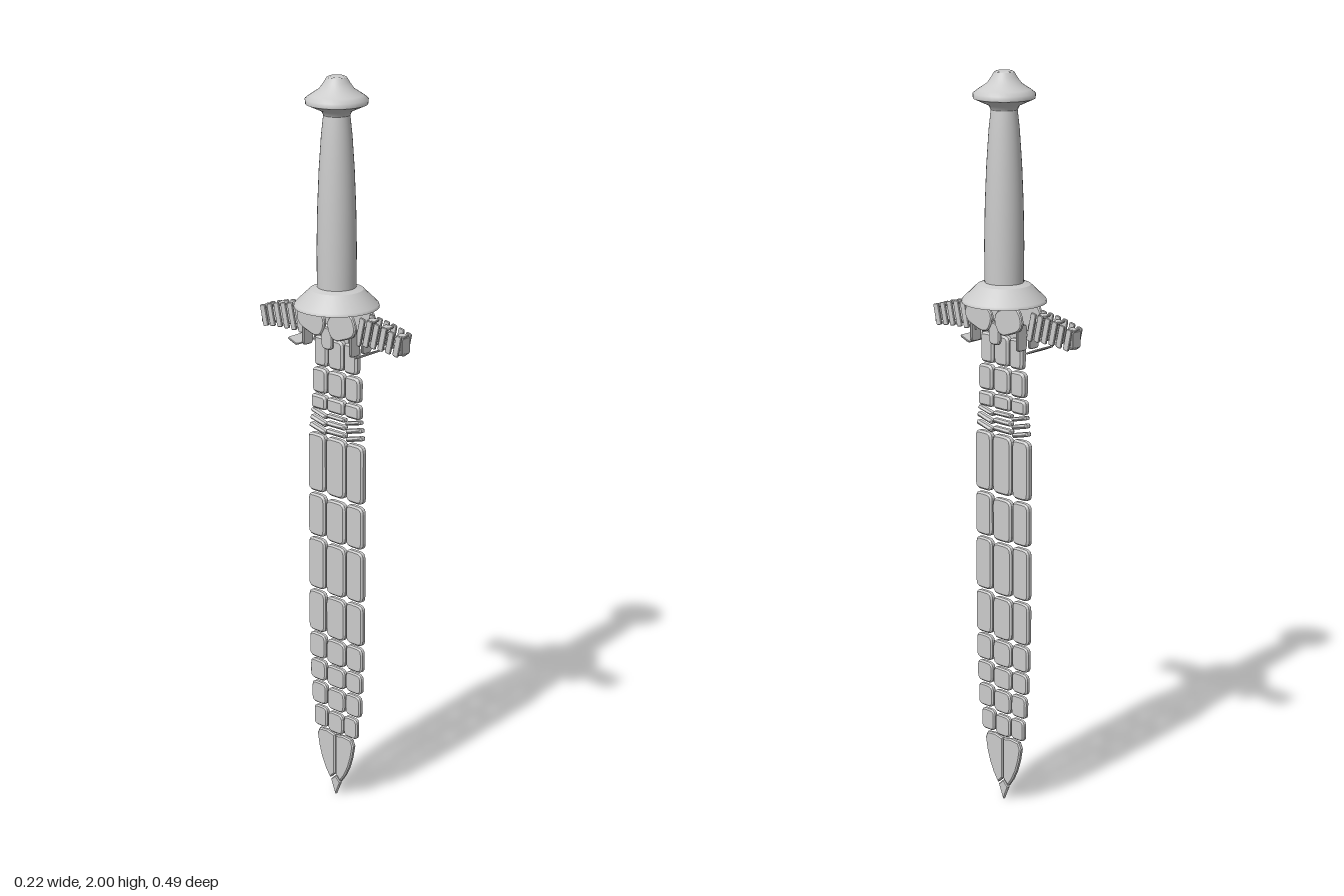
import * as THREE from 'three';

const CZ = 0.008; // centre line of the dagger
const steel = new THREE.MeshStandardMaterial({ color: 0xcccccc, flatShading: true, side: THREE.DoubleSide });
const smooth = new THREE.MeshStandardMaterial({ color: 0xcccccc, side: THREE.DoubleSide });

// Small bevelled slab from an outline in the z-y plane, thin along x
function slab(name, shape, thick) {
  const bevel = thick * 0.25;
  const geo = new THREE.ExtrudeGeometry(shape, {
    depth: thick - 2 * bevel, bevelEnabled: true, bevelThickness: bevel,
    bevelSize: bevel, bevelOffset: -bevel, bevelSegments: 1, curveSegments: 4,
  });
  geo.translate(0, 0, -(thick / 2 - bevel));
  geo.rotateY(-Math.PI / 2);
  const mesh = new THREE.Mesh(geo, steel);
  mesh.name = name;
  return mesh;
}

// Rounded rectangle centred on the origin
function roundedRect(w, h, r) {
  const x = w / 2, y = h / 2, s = new THREE.Shape();
  s.moveTo(-x + r, -y);
  s.lineTo(x - r, -y); s.quadraticCurveTo(x, -y, x, -y + r);
  s.lineTo(x, y - r); s.quadraticCurveTo(x, y, x - r, y);
  s.lineTo(-x + r, y); s.quadraticCurveTo(-x, y, -x, y - r);
  s.lineTo(-x, -y + r); s.quadraticCurveTo(-x, -y, -x + r, -y);
  return s;
}

function plate(name, w, h, thick, x, y, z, round = 0.3) {
  const mesh = slab(name, roundedRect(w, h, Math.min(w, h) * round), thick);
  mesh.position.set(x, y, z);
  return mesh;
}

// Turned part; each run of points gets its own lathe so the rims stay sharp
function turned(name, runs) {
  const group = new THREE.Group();
  group.name = name;
  for (const run of runs) {
    const geo = new THREE.LatheGeometry(run.map(([r, y]) => new THREE.Vector2(r, y)), 32);
    const mesh = new THREE.Mesh(geo, smooth);
    mesh.name = name + 'Surface';
    group.add(mesh);
  }
  group.position.z = CZ;
  return group;
}

function makeHilt() {
  const hilt = new THREE.Group();
  hilt.name = 'hilt';
  hilt.add(turned('collar', [
    [[0, 1.4], [0.112, 1.4]],
    [[0.112, 1.4], [0.11, 1.408], [0.07, 1.447]],
    [[0.07, 1.447], [0.05, 1.453]],
  ]));
  hilt.add(turned('grip', [
    [[0.051, 1.445], [0.052, 1.55], [0.05, 1.66], [0.046, 1.76], [0.04, 1.85], [0.034, 1.905]],
  ]));
  hilt.add(turned('pommel', [
    [[0.034, 1.9], [0.04, 1.912], [0.08, 1.93]],
    [[0.08, 1.93], [0.081, 1.943], [0.068, 1.953], [0.045, 1.968], [0.033, 1.985], [0.026, 1.997]],
    [[0.026, 1.997], [0.02, 2], [0, 2]],
  ]));
  return hilt;
}

function makeBlade() {
  const blade = new THREE.Group();
  blade.name = 'blade';
  // Rows of three plates: bottom, top, +z edge, -z edge
  const rows = [
    [0.19, 0.25, 0.09, -0.072], [0.257, 0.32, 0.102, -0.08], [0.327, 0.386, 0.106, -0.085],
    [0.392, 0.464, 0.109, -0.088], [0.47, 0.588, 0.11, -0.09], [0.596, 0.74, 0.11, -0.09],
    [0.748, 0.867, 0.11, -0.09], [0.875, 1.038, 0.11, -0.09],
    [1.046, 1.058, 0.106, -0.086], [1.068, 1.08, 0.104, -0.083], [1.09, 1.1, 0.1, -0.08],
    [1.108, 1.147, 0.098, -0.078], [1.153, 1.222, 0.097, -0.074], [1.228, 1.31, 0.088, -0.066],
  ];
  const columns = [[0, 0.305], [0.325, 0.675], [0.695, 1]];
  for (const [y0, y1, z0, z1] of rows) {
    const thick = 0.013 + 0.009 * Math.min(1, y0);
    columns.forEach(([a, b], i) => {
      const za = z0 + (z1 - z0) * a, zb = z0 + (z1 - z0) * b;
      // the middle column is staggered a little
      const shift = i === 1 && y0 < 0.8 ? -0.004 : 0;
      const p = plate('bladePlate', za - zb, y1 - y0, thick, 0, (y0 + y1) / 2 + shift, (za + zb) / 2);
      if (y1 - y0 < 0.02) p.rotation.x = (i - 1) * 0.25;
      blade.add(p);
    });
  }
  // Pointed end in two halves, with a small separate point
  for (const s of [1, -1]) {
    const half = new THREE.Shape();
    half.moveTo(s * 0.001, 0.062);
    half.lineTo(s * 0.02, 0.045);
    half.quadraticCurveTo(s * 0.058, 0.09, s * 0.068, 0.165);
    half.lineTo(s * 0.06, 0.183);
    half.lineTo(s * 0.03, 0.186);
    half.lineTo(s * 0.001, 0.18);
    const mesh = slab('bladeTipHalf', half, 0.014);
    mesh.position.z = CZ;
    blade.add(mesh);
  }
  const point = new THREE.Shape();
  point.moveTo(0, 0);
  point.lineTo(0.018, 0.04);
  point.lineTo(0, 0.057);
  point.lineTo(-0.018, 0.04);
  const pointMesh = slab('bladePoint', point, 0.01);
  pointMesh.position.z = CZ;
  blade.add(pointMesh);
  return blade;
}

// One arm of the crossguard, reaching along +z
function makeArm() {
  const arm = new THREE.Group();
  arm.name = 'guardArm';
  for (let i = 0; i < 6; i++) {
    const z = 0.105 + i * 0.0245;
    const y = 1.352 - 0.0006 * i * i;
    const h = 0.078 - 0.004 * i;
    // upright slats on both sides
    for (const s of [1, -1]) {
      const slat = plate('guardSlat', 0.018, h, 0.006, s * 0.02, y, z);
      slat.rotation.x = 0.22;
      arm.add(slat);
    }
    // plates along the top and bottom
    if (i % 2) {
      for (const s of [1, -1]) {
        const cap = plate('guardCap', 0.026, 0.03, 0.006, 0, y + s * (h / 2 - 0.006), z, 0.2);
        cap.rotation.set(0, 0.25, Math.PI / 2);
        arm.add(cap);
      }
    }
  }
  // closing plate at the end of the arm
  const end = plate('guardEnd', 0.034, 0.045, 0.008, 0, 1.336, 0.237, 0.2);
  end.rotation.y = Math.PI / 2;
  arm.add(end);
  // curved lip below the collar
  const lip = plate('guardLip', 0.035, 0.075, 0.005, 0, 1.29, 0.115, 0.2);
  lip.rotation.set(-0.4, 0, Math.PI / 2);
  arm.add(lip);
  arm.rotation.y = 0.06;
  return arm;
}

function makeCrossguard() {
  const guard = new THREE.Group();
  guard.name = 'crossguard';
  for (const s of [1, -1]) {
    const arm = makeArm();
    if (s < 0) arm.rotation.y += Math.PI;
    guard.add(arm);

    // crossed oval plates on each broad face
    for (const t of [1, -1]) {
      const oval = plate('guardOval', 0.1, 0.07, 0.012, s * 0.037, 1.362, CZ + t * 0.055, 0.5);
      oval.rotation.x = -t * 0.35;
      guard.add(oval);
    }
    guard.add(plate('guardBoss', 0.04, 0.06, 0.012, s * 0.033, 1.32, CZ, 0.4));

    // narrow plates wrapping the edges
    for (const x of [-0.022, 0.022]) {
      const edge = plate('guardEdge', 0.036, 0.07, 0.008, x, 1.32, CZ + s * 0.085, 0.3);
      edge.rotation.y = Math.PI / 2;
      guard.add(edge);
    }
  }
  return guard;
}

export function createModel() {
  const dagger = new THREE.Group();
  dagger.name = 'dagger';
  dagger.add(makeHilt(), makeCrossguard(), makeBlade());
  return dagger;
}
